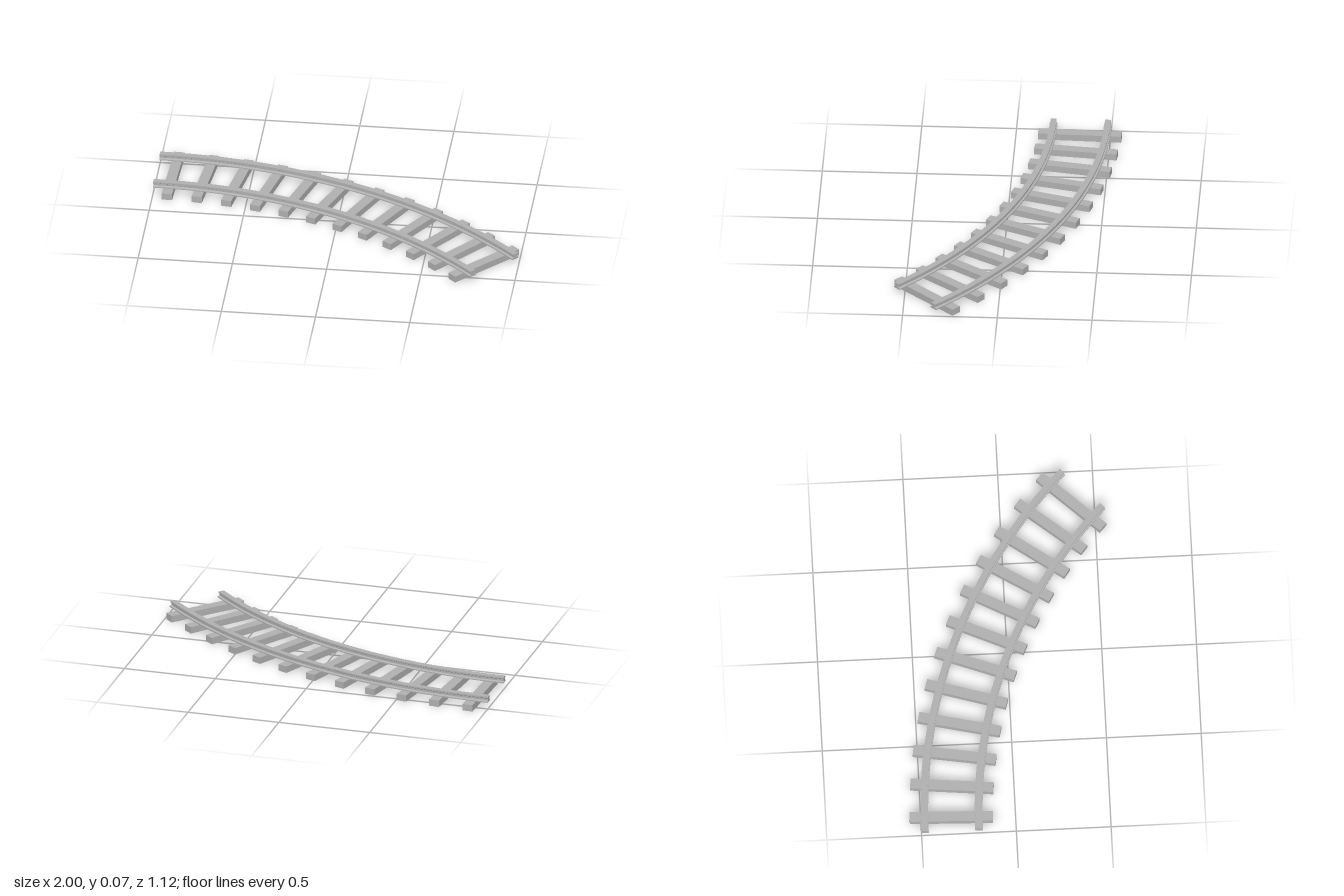
import * as THREE from 'three';
import { toCreasedNormals } from 'three/addons/utils/BufferGeometryUtils.js';

const ARC = Math.PI / 4;          // sweep of the curve
const CENTRE_X = -1, CENTRE_Z = 2.322;
const TIE_COUNT = 12, TIE_HEIGHT = 0.036;

// Half of the rail section, from the foot up to the head: [half width, height]
const HALF_SECTION = [
  [0.021, 0.036], [0.021, 0.042], [0.010, 0.046], [0.010, 0.056], [0.016, 0.060], [0.016, 0.068],
];

// Closed section, counter-clockwise, at a given radius
function railSection(radius) {
  const outer = HALF_SECTION.map(([w, y]) => new THREE.Vector2(radius + w, y));
  const inner = HALF_SECTION.map(([w, y]) => new THREE.Vector2(radius - w, y)).reverse();
  return [...outer, ...inner];
}

function makeRail(name, radius, material) {
  const rail = new THREE.Group();
  rail.name = name;
  const section = railSection(radius);

  // Curved body, swept about the centre of the bend
  const sweep = new THREE.LatheGeometry([...section, section[0].clone()], 40, Math.PI - ARC, ARC);
  const body = new THREE.Mesh(toCreasedNormals(sweep, 0.3), material);
  body.name = name + 'Body';

  // Flat end faces
  const endGeometry = new THREE.ShapeGeometry(new THREE.Shape(section)).rotateY(Math.PI / 2 - ARC);
  const endCap = new THREE.Mesh(endGeometry, material);
  endCap.name = name + 'EndFace';
  const mirrored = section.map((p) => new THREE.Vector2(-p.x, p.y));
  const startGeometry = new THREE.ShapeGeometry(new THREE.Shape(mirrored)).rotateY(-Math.PI / 2);
  const startCap = new THREE.Mesh(startGeometry, material);
  startCap.name = name + 'StartFace';

  rail.add(body, endCap, startCap);
  return rail;
}

export function createModel() {
  const grey = new THREE.MeshStandardMaterial({ color: 0xb0b0b0 });
  grey.name = 'grey';

  const track = new THREE.Group();
  track.name = 'curvedTrack';
  track.position.set(CENTRE_X, 0, CENTRE_Z);

  // Two rails
  track.add(makeRail('outerRail', 2.805, grey));
  track.add(makeRail('innerRail', 2.518, grey));

  // Cross ties, evenly spaced and pointing at the centre of the bend
  const ties = new THREE.Group();
  ties.name = 'ties';
  const tieGeometry = new THREE.BoxGeometry(0.055, TIE_HEIGHT, 0.44);
  const tieRadius = 2.662;
  for (let i = 0; i < TIE_COUNT; i++) {
    const angle = ((i + 0.5) / TIE_COUNT) * ARC;
    const tie = new THREE.Mesh(tieGeometry, grey);
    tie.name = 'tie' + (i + 1);
    tie.position.set(tieRadius * Math.sin(angle), TIE_HEIGHT / 2, -tieRadius * Math.cos(angle));
    tie.rotation.y = -angle;
    ties.add(tie);
  }
  track.add(ties);

  const model = new THREE.Group();
  model.name = 'railwayCurve';
  model.add(track);
  return model;
}
